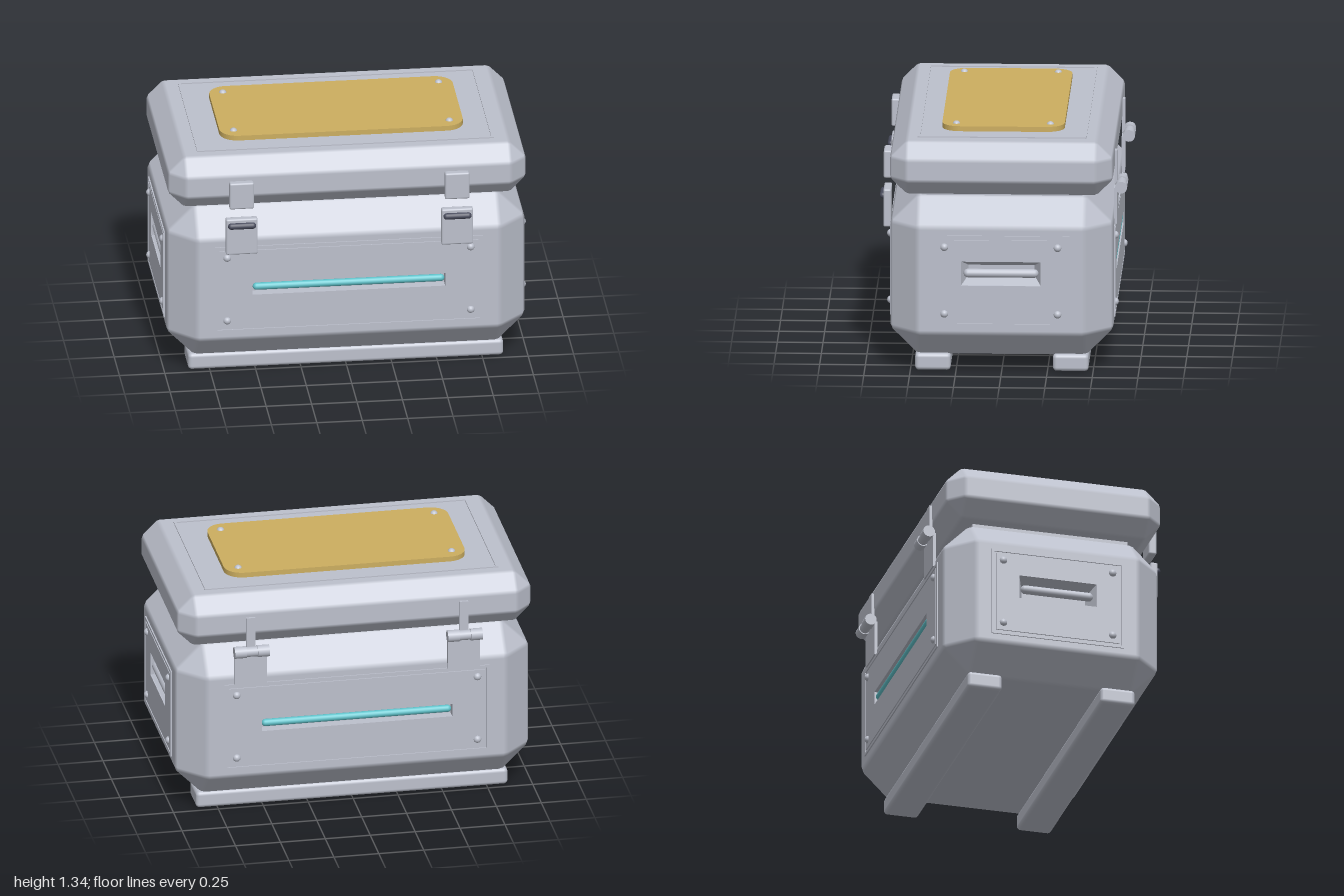
import * as THREE from 'three';
import { ConvexGeometry } from 'three/addons/geometries/ConvexGeometry.js';
import { RoundedBoxGeometry } from 'three/addons/geometries/RoundedBoxGeometry.js';

const mat = (name, color) => {
  const m = new THREE.MeshStandardMaterial({ color });
  m.name = name;
  return m;
};

function mesh(parent, name, geo, material, x = 0, y = 0, z = 0) {
  const m = new THREE.Mesh(geo, material);
  m.name = name;
  m.position.set(x, y, z);
  parent.add(m);
  return m;
}

// Rectangle with rounded corners, centred on the origin
function rect(w, h, r = 0, Type = THREE.Shape) {
  const s = new Type(), x = w / 2, y = h / 2;
  if (!r) {
    return s.moveTo(-x, -y).lineTo(x, -y).lineTo(x, y).lineTo(-x, y).closePath();
  }
  s.absarc(x - r, y - r, r, 0, Math.PI / 2);
  s.absarc(-x + r, y - r, r, Math.PI / 2, Math.PI);
  s.absarc(-x + r, -y + r, r, Math.PI, Math.PI * 1.5);
  s.absarc(x - r, -y + r, r, Math.PI * 1.5, Math.PI * 2);
  return s;
}

function holed(w, h, hw, hh, hy = 0) {
  const s = rect(w, h);
  const hole = new THREE.Path();
  hole.moveTo(-hw / 2, hy - hh / 2).lineTo(-hw / 2, hy + hh / 2);
  hole.lineTo(hw / 2, hy + hh / 2).lineTo(hw / 2, hy - hh / 2).closePath();
  s.holes.push(hole);
  return s;
}

const plate = (shape, depth) =>
  new THREE.ExtrudeGeometry(shape, { depth, bevelEnabled: false, curveSegments: 8 });

// Chamfered box with softened edges; openSides leaves out the four upright flat faces
function chamferBox(X, Y, Z, c, r, openSides) {
  const pts = [], normals = new Map(), h = [X - r, Y - r, Z - r];
  const key = (x, y, z) => [x, y, z].map((v) => Math.round(v * 1e4)).join();
  const s3 = [-1, 0, 1];
  for (const i of s3) for (const j of s3) for (const k of s3) {
    const d = [i, j, k];
    if (!i && !j && !k) continue;
    const n = new THREE.Vector3(i, j, k).normalize();
    // core corners that lie furthest along this direction
    for (let axis = 0; axis < 3; axis++) for (let bits = 0; bits < 8; bits++) {
      const s = [bits & 1 ? 1 : -1, bits & 2 ? 1 : -1, bits & 4 ? 1 : -1];
      if (d.some((v, a) => v && v !== s[a])) continue;
      if (!d[axis]) continue;
      const p = new THREE.Vector3(...s.map((v, a) => v * (a === axis ? h[a] : h[a] - c)));
      p.addScaledVector(n, r);
      pts.push(p);
      normals.set(key(p.x, p.y, p.z), n);
    }
  }
  const hull = new ConvexGeometry(pts).getAttribute('position');
  const pos = [], nor = [];
  for (let i = 0; i < hull.count; i += 3) {
    const v = [0, 1, 2].map((o) => new THREE.Vector3().fromBufferAttribute(hull, i + o));
    const n = v.map((p) => normals.get(key(p.x, p.y, p.z)));
    const upright = n.every((q) => Math.abs(q.x) > 0.99) || n.every((q) => Math.abs(q.z) > 0.99);
    if (openSides && upright) continue;
    v.forEach((p, o) => { pos.push(...p.toArray()); nor.push(...n[o].toArray()); });
  }
  const g = new THREE.BufferGeometry();
  g.setAttribute('position', new THREE.Float32BufferAttribute(pos, 3));
  g.setAttribute('normal', new THREE.Float32BufferAttribute(nor, 3));
  return g;
}

// Inward-facing tapered pocket, mouth at z = 0
function pocket(w, h, d, bw, bh) {
  const g = new THREE.BoxGeometry(w, h, d).translate(0, 0, -d / 2);
  const p = g.getAttribute('position');
  for (let i = 0; i < p.count; i++) {
    if (p.getZ(i) < -d / 2) p.setXY(i, p.getX(i) * bw / w, p.getY(i) * bh / h);
  }
  const a = g.index.array;
  for (let i = 0; i < a.length; i += 3) [a[i], a[i + 1]] = [a[i + 1], a[i]];
  g.computeVertexNormals();
  return g;
}

export function createModel() {
  const model = new THREE.Group();
  model.name = 'storageCrate';
  const grey = mat('shell grey', 0xbcc0cc);
  const gold = mat('brass plate', 0xccae60);
  const teal = mat('teal light', 0x62c4cc);
  const dark = mat('dark grip', 0x4a4d5e);

  const screwGeo = new THREE.SphereGeometry(0.022, 16, 6, 0, Math.PI * 2, 0, Math.PI / 2)
    .rotateX(Math.PI / 2);
  const rodGeo = (r, len) => new THREE.CapsuleGeometry(r, len - 2 * r, 6, 16).rotateZ(Math.PI / 2);

  // Main body
  const Y0 = 0.535, X = 0.985, Z = 0.61, c = 0.127, r = 0.04;
  mesh(model, 'body', chamferBox(X, 0.45, Z, c, r, true), grey, 0, Y0, 0);
  mesh(model, 'lidSeal', new THREE.BoxGeometry(1.66, 0.03, 0.88), grey, 0, 0.992, 0);

  // Four sides: wall with slot, panel, frame, pocket, bar and screws
  for (let k = 0; k < 4; k++) {
    const long = k % 2 === 0;
    const side = new THREE.Group();
    side.name = ['frontSide', 'leftSide', 'backSide', 'rightSide'][k];
    side.rotation.y = k * Math.PI / 2;
    model.add(side);
    const dist = long ? Z : X;
    const wallW = 2 * ((long ? X : Z) - c - r), wallH = 2 * (0.45 - c - r);
    const panelW = long ? 1.475 : 0.75, panelH = 0.51;
    const slotW = long ? 1.06 : 0.435, slotH = long ? 0.075 : 0.135;
    const slotY = long ? 0.537 : 0.577;
    mesh(side, 'wall', new THREE.ShapeGeometry(holed(wallW, wallH, slotW, slotH, slotY - Y0)),
      grey, 0, Y0, dist);
    mesh(side, 'panel', plate(holed(panelW - 0.05, panelH - 0.05, slotW, slotH, slotY - Y0), 0.007),
      grey, 0, Y0, dist);
    mesh(side, 'panelFrame', plate(holed(panelW, panelH, panelW - 0.03, panelH - 0.03), 0.007),
      grey, 0, Y0, dist);
    mesh(side, 'slotPocket', long ? pocket(slotW, slotH, 0.05, slotW, slotH)
      : pocket(slotW, slotH, 0.09, 0.36, 0.055), grey, 0, slotY, dist);
    if (long) mesh(side, 'lightBar', rodGeo(0.02, 1.055), teal, 0, 0.54, dist - 0.015);
    else mesh(side, 'handleBar', rodGeo(0.024, 0.41), grey, 0, 0.575, dist - 0.02);
    for (const sx of [-1, 1]) for (const y of [0.35, 0.725]) {
      mesh(side, 'screw', screwGeo, grey, sx * (long ? 0.67 : 0.31), y, dist + 0.002);
    }
  }

  // Lid with framed top and brass plate
  mesh(model, 'lid', chamferBox(X, 0.15, Z, 0.072, 0.03, false), grey, 0, 1.15, 0);
  const top = new THREE.Group();
  top.name = 'lidTop';
  top.rotation.x = -Math.PI / 2;
  top.position.y = 1.3;
  model.add(top);
  mesh(top, 'lidFrame', plate(holed(1.635, 0.925, 1.605, 0.895), 0.006), grey);
  mesh(top, 'brassPlate', plate(rect(1.34, 0.67, 0.1), 0.028), gold);
  for (const sx of [-1, 1]) for (const sy of [-1, 1]) {
    mesh(top, 'plateScrew', screwGeo, grey, sx * 0.594, sy * 0.257, 0.02);
  }

  // Runner feet
  for (const s of [-1, 1]) {
    mesh(model, 'foot', new RoundedBoxGeometry(1.735, 0.095, 0.195, 3, 0.022),
      grey, 0, 0.0475, s * 0.377);
  }

  // Latches at the front and hinges at the back
  const barrel = (len, rad) => new THREE.CylinderGeometry(rad, rad, len, 20).rotateZ(Math.PI / 2);
  for (const s of [-1, 1]) {
    const x = s * 0.593;
    mesh(model, 'latchCatch', new RoundedBoxGeometry(0.135, 0.155, 0.045, 2, 0.01),
      grey, x, 1.107, 0.631);
    mesh(model, 'latchLever', new RoundedBoxGeometry(0.175, 0.212, 0.043, 2, 0.01),
      grey, x, 0.865, 0.633);
    mesh(model, 'latchGrip', rodGeo(0.018, 0.155), dark, x, 0.932, 0.657);

    mesh(model, 'hingeUpperLeaf', new THREE.BoxGeometry(0.05, 0.19, 0.018), grey, x, 1.09, -0.616);
    mesh(model, 'hingeLowerLeaf', new THREE.BoxGeometry(0.18, 0.2, 0.018), grey, x, 0.89, -0.616);
    for (const e of [-1, 1]) {
      mesh(model, 'hingeKnuckle', barrel(0.066, 0.033), grey, x + e * 0.064, 0.995, -0.647);
    }
    mesh(model, 'hingePin', barrel(0.08, 0.028), grey, x, 0.995, -0.647);
  }
  return model;
}
